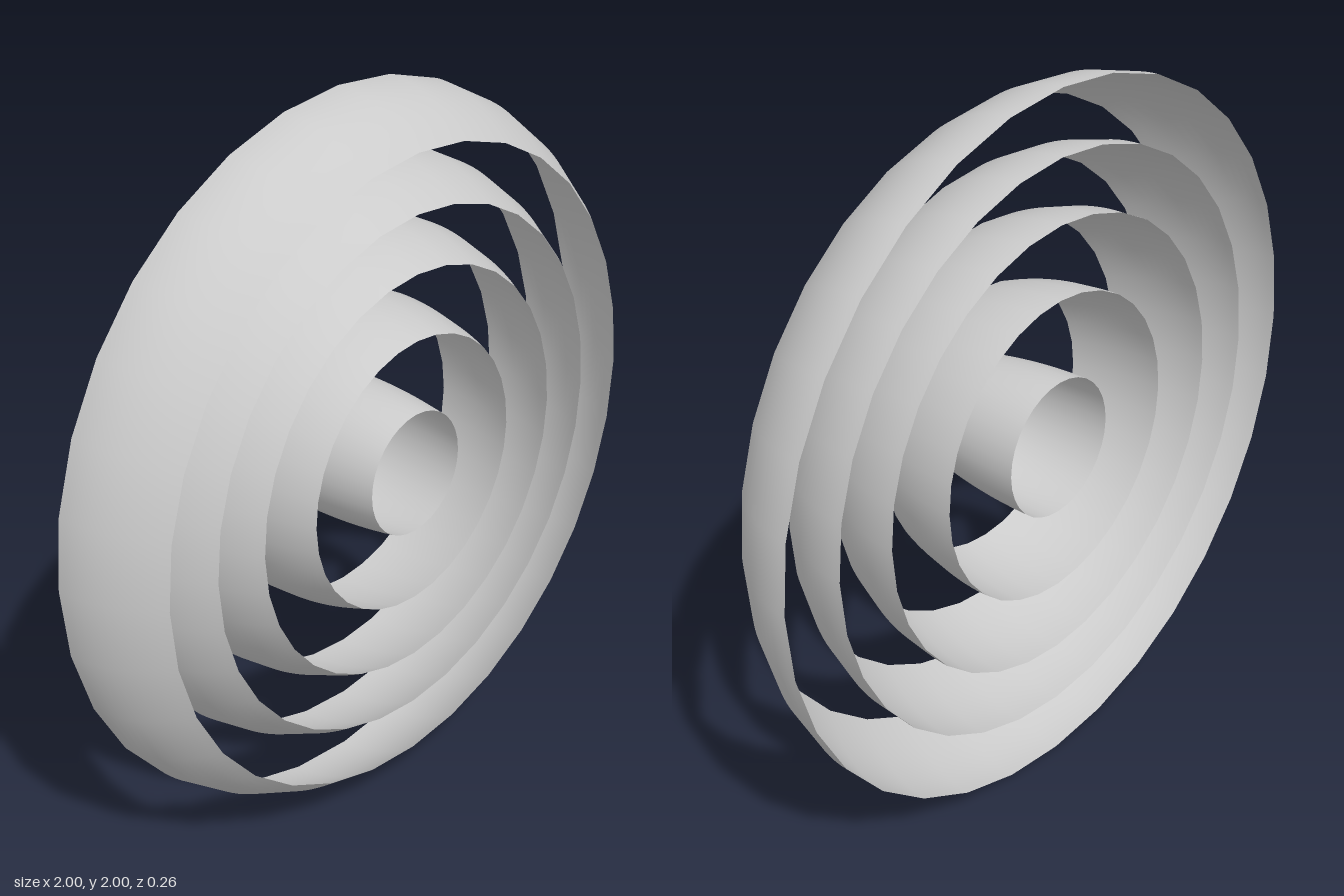
import * as THREE from 'three';

const HALF_DEPTH = 0.132; // every ring spans the same depth
const TAPER = 0.112; // share of the radius lost from back rim to front rim

export function createModel() {
  const model = new THREE.Group();
  model.name = 'concentricRings';

  const material = new THREE.MeshStandardMaterial({ color: 0xcccccc, side: THREE.DoubleSide });

  // Thin open band: straight at the back rim, curving inward to the front
  function ring(name, radius) {
    const steps = 12;
    const profile = [];
    for (let i = 0; i <= steps; i++) {
      const t = i / steps;
      profile.push(new THREE.Vector2(radius * (1 - TAPER * t * t), HALF_DEPTH * (2 * t - 1)));
    }
    const geometry = new THREE.LatheGeometry(profile, 32);
    geometry.rotateX(Math.PI / 2); // lathe axis to z, narrow end forward
    const mesh = new THREE.Mesh(geometry, material);
    mesh.name = name;
    mesh.position.y = 1;
    model.add(mesh);
  }

  // Nested rings from the outside in
  ring('outerRing', 1);
  ring('secondRing', 0.82);
  ring('middleRing', 0.64);
  ring('fourthRing', 0.432);
  ring('innerRing', 0.196);

  return model;
}
